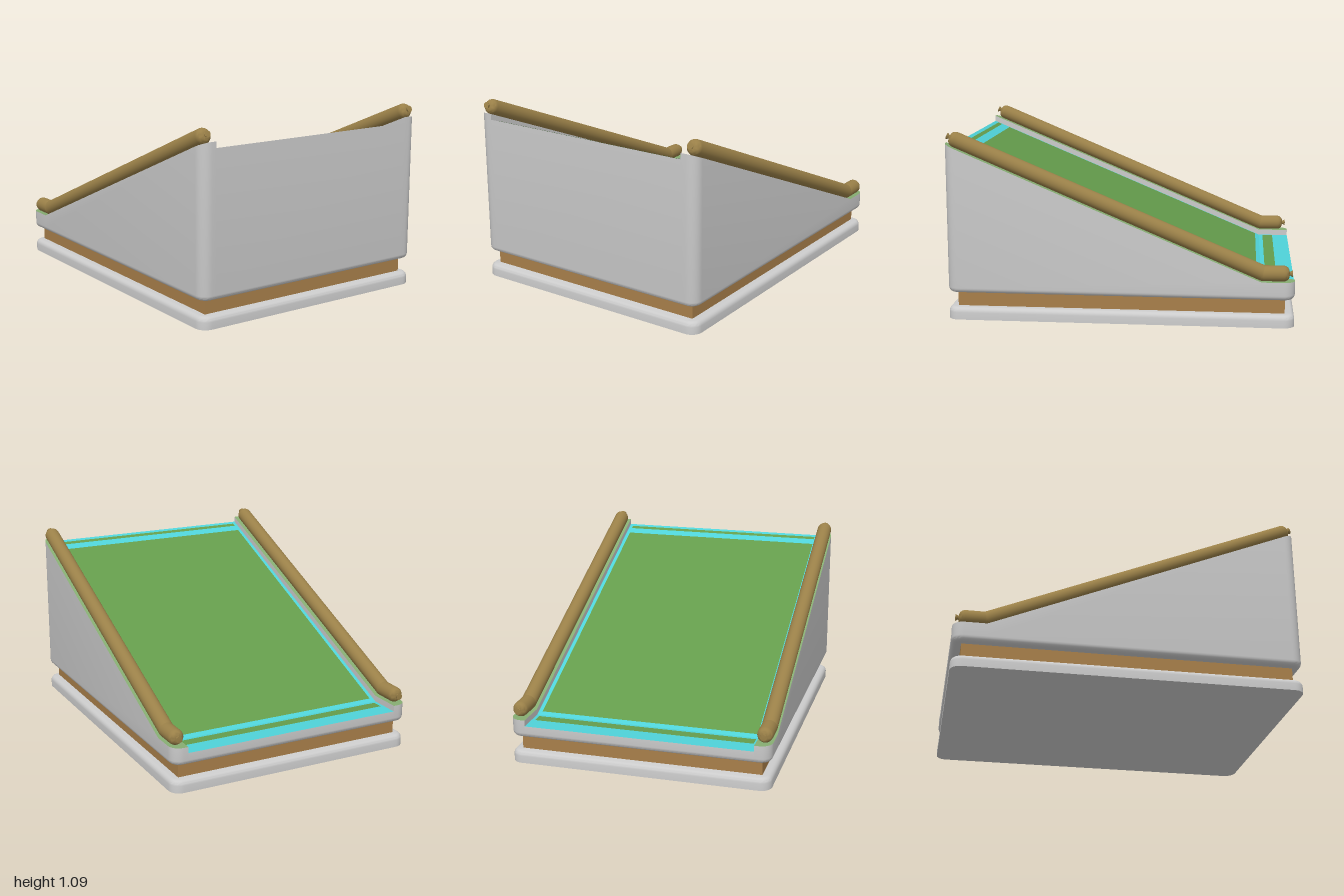
import * as THREE from 'three';
import { toCreasedNormals } from 'three/addons/utils/BufferGeometryUtils.js';

const HX = 0.765, HZ = 1, INNER = 0.672, BEND = -0.81, STEP = 0.035, CORNER = 0.065;

const mat = (color) => new THREE.MeshStandardMaterial({ color, side: THREE.DoubleSide });
const curbY = (z) => (z < BEND ? 0.265 : 0.265 + (z - BEND) * 0.42);
const deckY = (z) => curbY(z) - STEP;

// Rounded-rectangle plan, counter-clockwise from above; "curb" marks points on the raised side strips
function outline(inset) {
  const pts = [], r = CORNER - inset, cx = HX - CORNER, cz = HZ - CORNER;
  const arc = (sx, sz, start) => {
    for (let i = 0; i <= 8; i++) {
      const a = start + (i / 8) * Math.PI / 2;
      pts.push({ x: sx * cx + r * Math.cos(a), z: sz * cz - r * Math.sin(a), curb: true });
    }
  };
  const step = (x, z, curb) => pts.push({ x, z, curb });
  const e = HZ - inset, w = HX - inset;
  step(w, BEND, true);
  arc(1, -1, 0);
  step(INNER, -e, true); step(INNER, -e, false);
  step(-INNER, -e, false); step(-INNER, -e, true);
  arc(-1, -1, Math.PI / 2);
  step(-w, BEND, true);
  arc(-1, 1, Math.PI);
  step(-INNER, e, true); step(-INNER, e, false);
  step(INNER, e, false); step(INNER, e, true);
  arc(1, 1, Math.PI * 1.5);
  return pts;
}

// Joins rows of equal length into a surface
function loft(rows, closed) {
  const n = rows[0].length, index = [];
  for (let r = 0; r < rows.length - 1; r++) {
    for (let i = 0; i < (closed ? n : n - 1); i++) {
      const j = (i + 1) % n, a = r * n + i, b = r * n + j;
      index.push(a, b, b + n, a, b + n, a + n);
    }
  }
  const geo = new THREE.BufferGeometry();
  geo.setAttribute('position', new THREE.Float32BufferAttribute(rows.flat(2), 3));
  geo.setIndex(index);
  return toCreasedNormals(geo, 0.6);
}

const ring = (inset, y) => outline(inset).map((p) => [p.x, typeof y === 'function' ? y(p) : y, p.z]);
const centre = (y) => outline(0).map(() => [0, y, 0]);

function add(parent, name, geo, material) {
  const mesh = new THREE.Mesh(geo, material);
  mesh.name = name;
  parent.add(mesh);
  return mesh;
}

// Round bar along +y with a softened end and a small flared knob
function barGeometry(length) {
  const R = 0.045, pts = [new THREE.Vector2(R, 0)];
  for (let i = 0; i <= 6; i++) {
    const a = (i / 6) * Math.PI / 2;
    pts.push(new THREE.Vector2(0.013 + 0.032 * Math.cos(a), length - 0.035 + 0.035 * Math.sin(a)));
  }
  pts.push(new THREE.Vector2(0.011, length + 0.003), new THREE.Vector2(0.019, length + 0.018),
    new THREE.Vector2(0, length + 0.02));
  return toCreasedNormals(new THREE.LatheGeometry(pts, 24), 0.6);
}

export function createModel() {
  const group = new THREE.Group();
  const grey = mat(0xcccccc), wood = mat(0xa87f4a), railWood = mat(0x9a8048);
  const green = mat(0x649c4c), cyan = mat(0x4fd2d8), edgeGreen = mat(0x86ad72);
  const quarter = [0, 1, 2, 3, 4, 5].map((i) => (i / 5) * Math.PI / 2);
  const R = 0.03;

  // Base slab with a rounded top edge
  const baseRows = [centre(0), ring(0, 0)];
  quarter.forEach((a) => baseRows.push(ring(R * (1 - Math.cos(a)), 0.072 - R + R * Math.sin(a))));
  baseRows.push(centre(0.072));
  add(group, 'baseSlab', loft(baseRows, true), grey);

  // Recessed wooden core
  add(group, 'woodCore', new THREE.BoxGeometry(1.42, 0.1, 1.89), wood).position.y = 0.116;

  // Wedge body: rounded underside, walls following the slope
  const bodyRows = [centre(0.158)];
  quarter.forEach((a) => bodyRows.push(ring(R * (1 - Math.sin(a)), 0.158 + R * (1 - Math.cos(a)))));
  bodyRows.push(ring(0, (p) => (p.curb ? curbY(p.z) : deckY(p.z))));
  add(group, 'wedgeBody', loft(bodyRows, true), grey);

  // Raised side curbs
  for (const side of [1, -1]) {
    const name = side > 0 ? 'left' : 'right';
    const edge = outline(0).filter((p) => p.curb && p.x > 0).sort((a, b) => b.z - a.z || (b.z > 0 ? a.x - b.x : b.x - a.x));
    const outer = edge.map((p) => [side * p.x, curbY(p.z), p.z]);
    const inner = edge.map((p) => [side * INNER, curbY(p.z), p.z]);
    const low = edge.map((p) => [side * INNER, deckY(p.z), p.z]);
    const order = (a, b) => (side > 0 ? [a, b] : [b, a]);
    add(group, name + 'CurbTop', loft(order(outer, inner), false), edgeGreen);
    add(group, name + 'CurbInnerWall', loft(order(inner, low), false), grey);
  }

  // Deck surface and its inlaid bands
  const panel = (name, half, z0, z1, lift, material) => {
    const row = (z) => [[-half, deckY(z) + lift, z], [half, deckY(z) + lift, z]];
    add(group, name, loft([row(z1), row(z0)], false), material);
  };
  panel('deckSlope', INNER, BEND, HZ, 0, cyan);
  panel('deckFlat', INNER, -HZ, BEND, 0, cyan);
  panel('mainField', 0.648, -0.785, 0.9, 0.003, green);
  panel('frontBand', 0.648, 0.95, 0.975, 0.003, green);
  panel('backBand', 0.648, -0.9, -0.835, 0.003, green);

  // Bent side rails
  const bend = new THREE.Vector3(0, 0.309, -0.818);
  const ends = [new THREE.Vector3(0, 1.061, 0.968), new THREE.Vector3(0, 0.309, -0.967)];
  for (const side of [1, -1]) {
    const rail = new THREE.Group();
    rail.name = side > 0 ? 'leftRail' : 'rightRail';
    rail.position.x = side * 0.719;
    ends.forEach((end, i) => {
      const dir = end.clone().sub(bend);
      const bar = add(rail, i ? 'railFlatBar' : 'railSlopeBar', barGeometry(dir.length()), railWood);
      bar.position.copy(bend);
      bar.quaternion.setFromUnitVectors(new THREE.Vector3(0, 1, 0), dir.normalize());
    });
    add(rail, 'railElbow', new THREE.SphereGeometry(0.045, 24, 16), railWood).position.copy(bend);
    group.add(rail);
  }
  return group;
}
